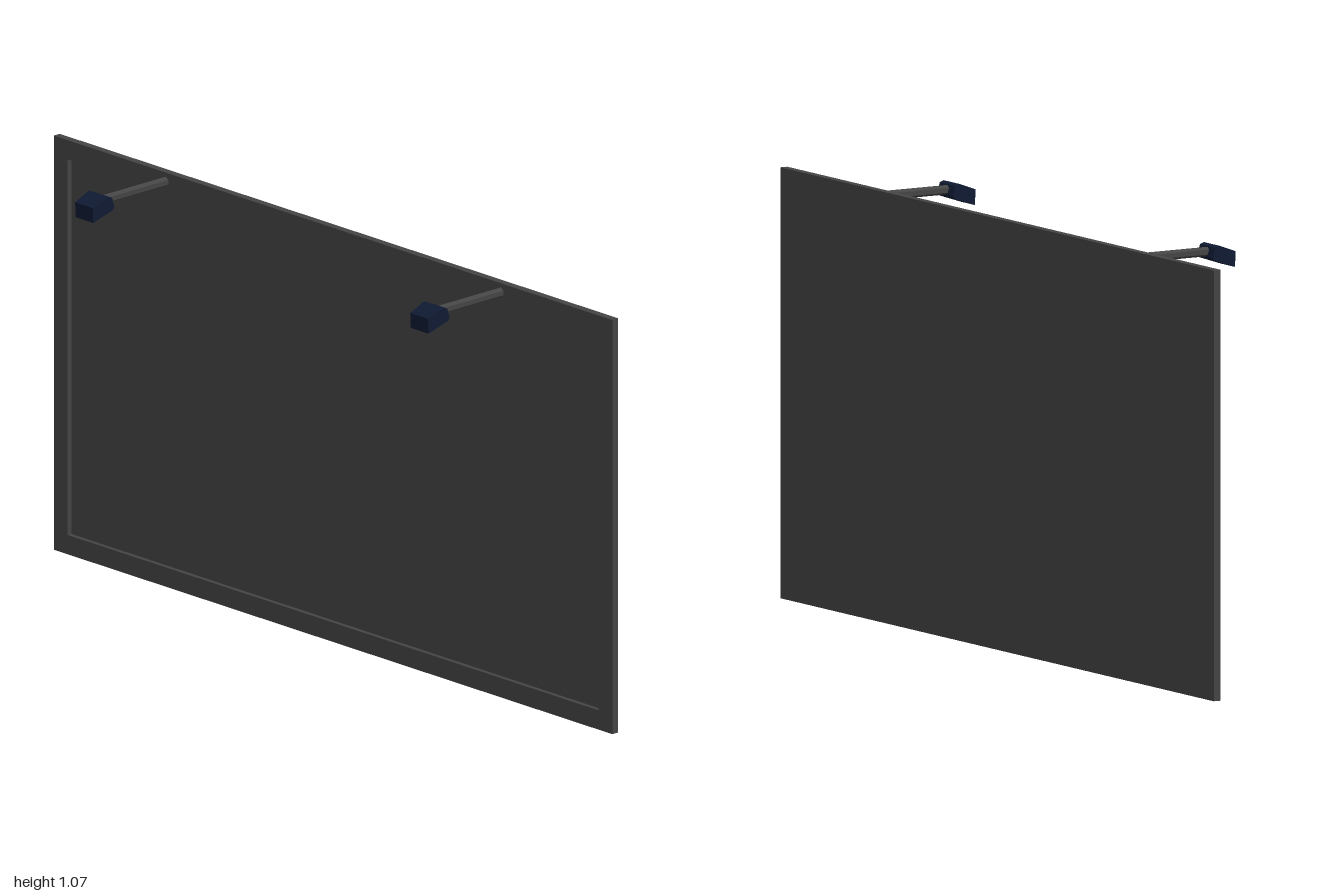
import * as THREE from 'three';

const H = 1.07, BORDER = 0.05;
const grey = new THREE.MeshStandardMaterial({ color: 0x444444, flatShading: true });
const navy = new THREE.MeshStandardMaterial({ color: 0x0f1a33, flatShading: true });

function add(parent, name, geometry, material, x = 0, y = 0, z = 0) {
  const mesh = new THREE.Mesh(geometry, material);
  mesh.name = name;
  mesh.position.set(x, y, z);
  parent.add(mesh);
  return mesh;
}

function rectangle(Type, w, y0, y1) {
  return new Type([[-w, y0], [w, y0], [w, y1], [-w, y1]].map(p => new THREE.Vector2(...p)));
}

// Raised border around the lit side of the board, extruded towards -x
function frameGeometry() {
  const shape = rectangle(THREE.Shape, 1, 0, H);
  shape.holes.push(rectangle(THREE.Path, 1 - BORDER, BORDER, H - BORDER));
  return new THREE.ExtrudeGeometry(shape, { depth: 0.012, bevelEnabled: false }).rotateY(-Math.PI / 2);
}

// Tilted lamp housing: a side profile, narrower towards its outer end
function headGeometry() {
  const profile = [
    [-0.148, 1.047], [-0.146, 1.008], [-0.086, 1.028],
    [-0.079, 1.035], [-0.087, 1.061], [-0.098, 1.065],
  ].map(p => new THREE.Vector2(...p));
  const geo = new THREE.ExtrudeGeometry(new THREE.Shape(profile), { depth: 0.072, bevelEnabled: false });
  geo.translate(0, 0, -0.036);
  const pos = geo.attributes.position;
  for (let i = 0; i < pos.count; i++) {
    if (pos.getX(i) < -0.12) pos.setZ(i, pos.getZ(i) * 0.88);
  }
  geo.computeVertexNormals();
  return geo;
}

export function createModel() {
  const model = new THREE.Group();
  model.name = 'billboard';

  add(model, 'board', new THREE.BoxGeometry(0.008, H, 2), grey, 0.143, H / 2, 0);
  add(model, 'frame', frameGeometry(), grey, 0.139, 0, 0);

  // Two lamps reaching out from the top border
  const armGeo = new THREE.CylinderGeometry(0.0118, 0.0118, 0.217, 6).rotateZ(Math.PI / 2);
  // Turn the hexagon so that it is flat on top
  armGeo.rotateX(Math.PI / 2);
  const flat = armGeo.clone().computeBoundingBox;
  const headGeo = headGeometry();
  for (const z of [-0.6, 0.6]) {
    const lamp = new THREE.Group();
    lamp.name = z > 0 ? 'frontLamp' : 'rearLamp';
    lamp.position.z = z;
    add(lamp, 'lampArm', armGeo, grey, 0.0185, 1.047, 0);
    add(lamp, 'lampHead', headGeo, navy);
    model.add(lamp);
  }
  return model;
}
